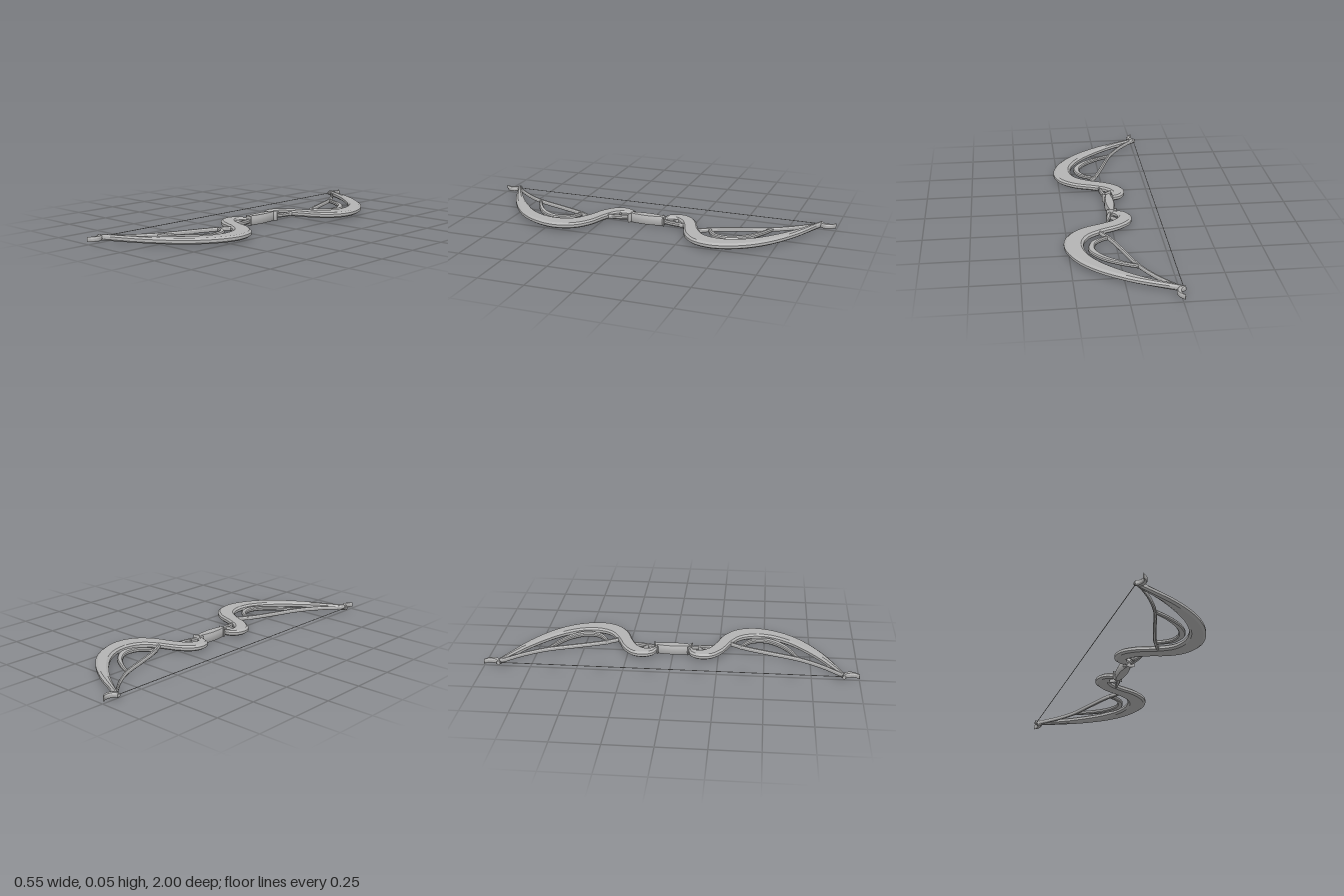
import * as THREE from 'three';
import { toCreasedNormals } from 'three/addons/utils/BufferGeometryUtils.js';

const MID = 0.026; // height of the bow's middle plane
const grey = new THREE.MeshStandardMaterial({ color: 0xb4b4b4 });
grey.name = 'plain grey';

// Bevelled bar lofted between a left and a right edge, both lists of [x, z]
function bar(left, right, half, bevel, steps, mirror) {
  const curve = (pts) => new THREE.CatmullRomCurve3(pts.map(([x, z]) => new THREE.Vector3(x, 0, z)), false, 'centripetal');
  const l = curve(left), r = curve(right);
  const pos = [], idx = [], n = (left.length - 1) * steps;
  for (let i = 0; i <= n; i++) {
    const a = l.getPoint(i / n), b = r.getPoint(i / n);
    const e = Math.min(bevel / Math.max(a.distanceTo(b), 1e-4), 0.3);
    const side = half * 0.45;
    const ring = [[1, -side], [1, side], [1 - e, half], [e, half], [0, side], [0, -side], [e, -half], [1 - e, -half]];
    for (const [t, y] of ring) {
      const p = a.clone().lerp(b, t);
      pos.push(p.x, MID + y, mirror ? -p.z : p.z);
    }
  }
  const tri = (a, b, c) => (mirror ? idx.push(a, c, b) : idx.push(a, b, c));
  for (let i = 0; i < n; i++) {
    for (let j = 0; j < 8; j++) {
      const a = i * 8 + j, b = i * 8 + (j + 1) % 8;
      tri(a, b, b + 8);
      tri(a, b + 8, a + 8);
    }
  }
  for (let j = 1; j < 7; j++) {
    tri(0, j + 1, j);
    tri(n * 8, n * 8 + j, n * 8 + j + 1);
  }
  const g = new THREE.BufferGeometry();
  g.setAttribute('position', new THREE.Float32BufferAttribute(pos, 3));
  g.setIndex(idx);
  return toCreasedNormals(g, 0.5);
}

// Bar that follows a centre line of [x, z, width]
function strand(pts, half, bevel, mirror) {
  const left = [], right = [];
  pts.forEach(([x, z, w], i) => {
    const p = pts[Math.max(i - 1, 0)], q = pts[Math.min(i + 1, pts.length - 1)];
    const d = new THREE.Vector2(q[0] - p[0], q[1] - p[1]).normalize().multiplyScalar(w / 2);
    left.push([x - d.y, z + d.x]);
    right.push([x + d.y, z - d.x]);
  });
  return bar(left, right, half, bevel, 6, mirror);
}

const limbInner = [[-0.025, 0.083], [-0.085, 0.103], [-0.112, 0.155], [-0.1, 0.215], [-0.04, 0.27], [0.07, 0.32],
  [0.14, 0.37], [0.17, 0.44], [0.163, 0.53], [0.1, 0.64], [-0.06, 0.785], [-0.262, 0.912]];
const limbOuter = [[-0.012, 0.1], [-0.035, 0.125], [-0.037, 0.16], [-0.005, 0.2], [0.06, 0.232], [0.17, 0.275],
  [0.245, 0.345], [0.272, 0.45], [0.235, 0.58], [0.145, 0.7], [-0.02, 0.82], [-0.252, 0.925]];

// Strands of each half: name, half height, bevel, centre line
const strands = [
  ['innerRail', 0.011, 0.004, [[-0.255, 0.918, 0.012], [-0.16, 0.81, 0.014], [-0.085, 0.69, 0.016],
    [-0.025, 0.53, 0.018], [0.025, 0.4, 0.018], [0.075, 0.312, 0.018]]],
  ['crescentBrace', 0.011, 0.005, [[-0.08, 0.688, 0.016], [0.0, 0.648, 0.022], [0.085, 0.585, 0.03],
    [0.133, 0.505, 0.036], [0.118, 0.43, 0.028], [0.075, 0.392, 0.02], [0.03, 0.372, 0.016]]],
  ['gripStrap', 0.012, 0.005, [[-0.004, 0.088, 0.016], [0.009, 0.14, 0.024], [0.02, 0.19, 0.018], [0.024, 0.225, 0.01]]],
  ['crossClaw', 0.011, 0.003, [[0.01, 0.135, 0.014], [-0.015, 0.158, 0.01], [-0.042, 0.175, 0.012]]],
  ['tipHook', 0.013, 0.004, [[-0.272, 0.918, 0.014], [-0.25, 0.927, 0.024], [-0.238, 0.95, 0.026],
    [-0.241, 0.976, 0.018], [-0.259, 1.0, 0.004]]],
];

export function createModel() {
  const bow = new THREE.Group();
  bow.name = 'bow';
  const add = (name, geometry, parent = bow) => {
    const m = new THREE.Mesh(geometry, grey);
    m.name = name;
    parent.add(m);
    return m;
  };

  // Swelling handle
  add('grip', strand([[-0.012, -0.1, 0.03], [-0.012, -0.05, 0.049], [-0.012, 0, 0.056],
    [-0.012, 0.05, 0.049], [-0.012, 0.1, 0.03]], 0.026, 0.006, false));

  // Two mirrored halves
  for (const mirror of [false, true]) {
    const half = new THREE.Group();
    half.name = mirror ? 'backHalf' : 'frontHalf';
    bow.add(half);
    const s = mirror ? -1 : 1;
    add('limb', bar(limbInner, limbOuter, 0.016, 0.013, 8, mirror), half);
    for (const [name, h, bevel, pts] of strands) add(name, strand(pts, h, bevel, mirror), half);
    // Flared collar at the end of the grip
    add('collar', strand([[-0.04, 0.082, 0.006], [-0.025, 0.092, 0.014], [-0.01, 0.096, 0.016],
      [0.005, 0.098, 0.014], [0.018, 0.106, 0.005]], 0.025, 0.004, mirror), half);
    // Nock that holds the string
    add('nock', new THREE.BoxGeometry(0.018, 0.013, 0.018), half).position.set(-0.266, MID, s * 0.918);
  }

  // String
  const string = add('string', new THREE.CylinderGeometry(0.002, 0.002, 1.84, 8));
  string.rotation.x = Math.PI / 2;
  string.position.set(-0.265, MID, 0);
  return bow;
}
